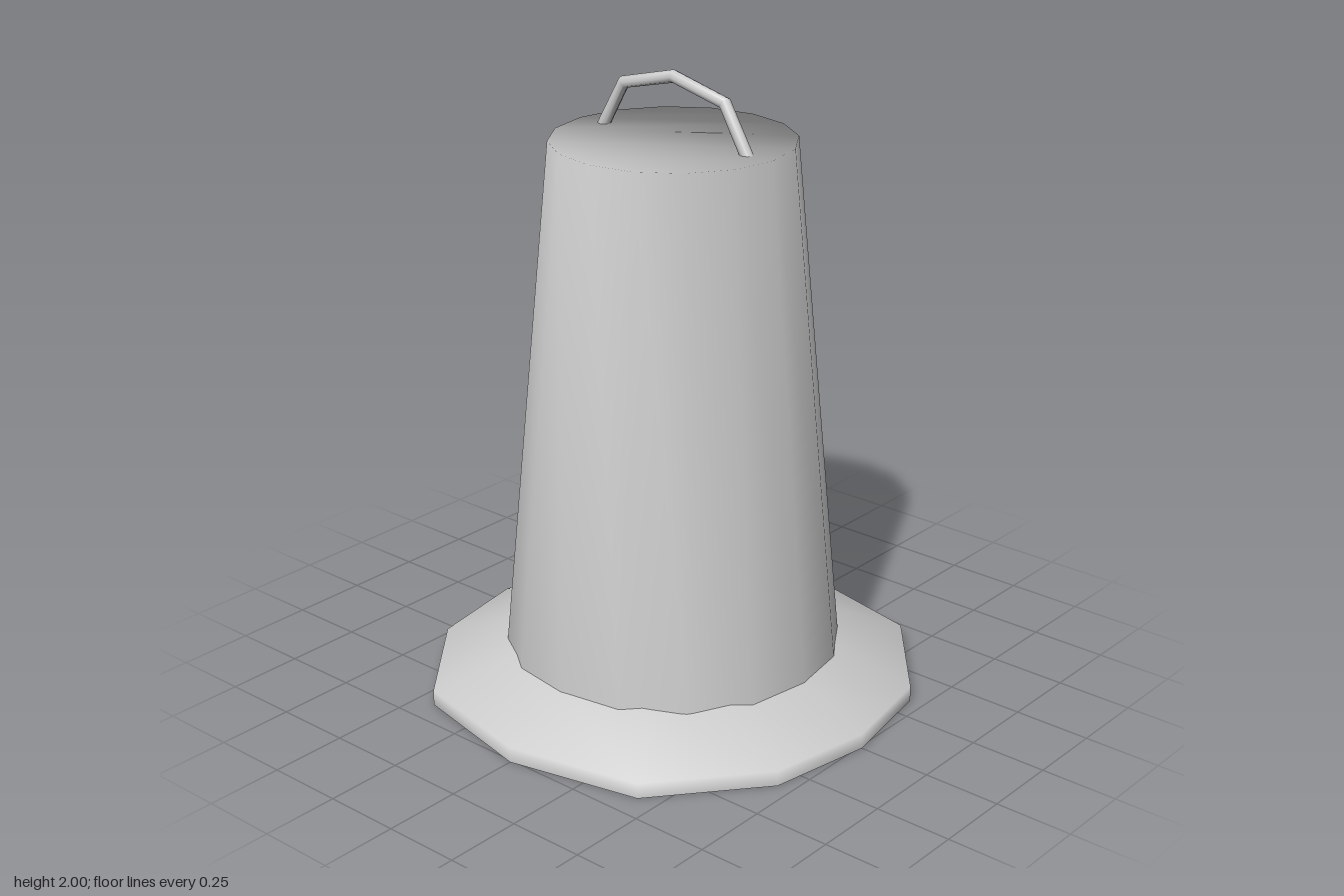
import * as THREE from 'three';
import { mergeVertices, toCreasedNormals } from 'three/addons/utils/BufferGeometryUtils.js';

// Body and brim are open sheets, so both sides show
const material = new THREE.MeshStandardMaterial({ color: 0xcccccc, side: THREE.DoubleSide });

function addPart(group, name, geometry) {
  const mesh = new THREE.Mesh(geometry, material);
  mesh.name = name;
  group.add(mesh);
}

function indexedGeometry(positions, index) {
  const g = new THREE.BufferGeometry();
  g.setAttribute('position', new THREE.Float32BufferAttribute(positions, 3));
  g.setIndex(index);
  g.computeVertexNormals();
  return g;
}

// Tapered 16-sided body, open below, closed on top, smooth over its rim
function bodyGeometry() {
  const sides = 16, positions = [], index = [];
  for (const [r, y] of [[0.377, 1.79], [0.535, 0.14]]) {
    for (let i = 0; i < sides; i++) {
      const a = (i / sides) * Math.PI * 2;
      positions.push(r * Math.sin(a), y, r * Math.cos(a));
    }
  }
  // wall
  for (let i = 0; i < sides; i++) {
    const n = (i + 1) % sides;
    index.push(i, i + sides, n + sides, i, n + sides, n);
  }
  // top, in strips across the diagonal
  const at = k => (k + 2 + sides) % sides;
  for (let k = 0; k < sides / 2; k++) {
    if (k < sides / 2 - 1) index.push(at(k), at(k + 1), at(-k - 1));
    if (k > 0) index.push(at(k), at(-k - 1), at(-k));
  }
  return indexedGeometry(positions, index);
}

// Sloping sheet brim with a short upright edge; its 12 outer corners are slightly uneven
function brimGeometry() {
  const profile = [[0.76, 0], [0.76, 0.05], [0.515, 0.155]];
  const g = new THREE.LatheGeometry(profile.map(p => new THREE.Vector2(...p)), 12);
  const corners = [[0, 1], [0.566, 0.875], [0.921, 0.447], [1, 0]];
  const p = g.attributes.position;
  for (let i = 0; i < p.count; i++) {
    const x = p.getX(i), z = p.getZ(i), r = Math.hypot(x, z);
    if (r < 0.7) continue;
    const step = Math.round(Math.atan2(Math.abs(x), Math.abs(z)) / (Math.PI / 6));
    p.setX(i, Math.sign(x) * r * corners[step][0]);
    p.setZ(i, Math.sign(z) * r * corners[step][1]);
  }
  g.deleteAttribute('normal');
  g.deleteAttribute('uv');
  const smooth = mergeVertices(g, 1e-4);
  smooth.computeVertexNormals();
  return smooth;
}

// Bent-rod handle: one ring per corner, set square to the bisector of the bend
function handleGeometry() {
  const points = [[-0.29, 1.77], [-0.197, 1.93], [0, 1.979], [0.197, 1.93], [0.29, 1.77]]
    .map(p => new THREE.Vector2(...p));
  const ring = 8, radius = 0.02, end = points.length - 1;
  const positions = [], index = [];
  points.forEach((p, i) => {
    const before = points[Math.max(i - 1, 0)], after = points[Math.min(i + 1, end)];
    const t = after.clone().sub(before).normalize();
    for (let j = 0; j < ring; j++) {
      const a = (j / ring) * Math.PI * 2, c = Math.cos(a) * radius;
      positions.push(p.x - t.y * c, p.y + t.x * c, Math.sin(a) * radius);
      if (i < end) {
        const k = i * ring + j, n = i * ring + (j + 1) % ring;
        index.push(k, n, k + ring, n, n + ring, k + ring);
      }
    }
  });
  // end caps
  const last = end * ring;
  for (let j = 1; j < ring - 1; j++) {
    index.push(0, j + 1, j, last, last + j, last + j + 1);
  }
  return toCreasedNormals(indexedGeometry(positions, index), 0.9);
}

export function createModel() {
  const group = new THREE.Group();
  addPart(group, 'body', bodyGeometry());
  addPart(group, 'brim', brimGeometry());
  addPart(group, 'handle', handleGeometry());
  return group;
}
